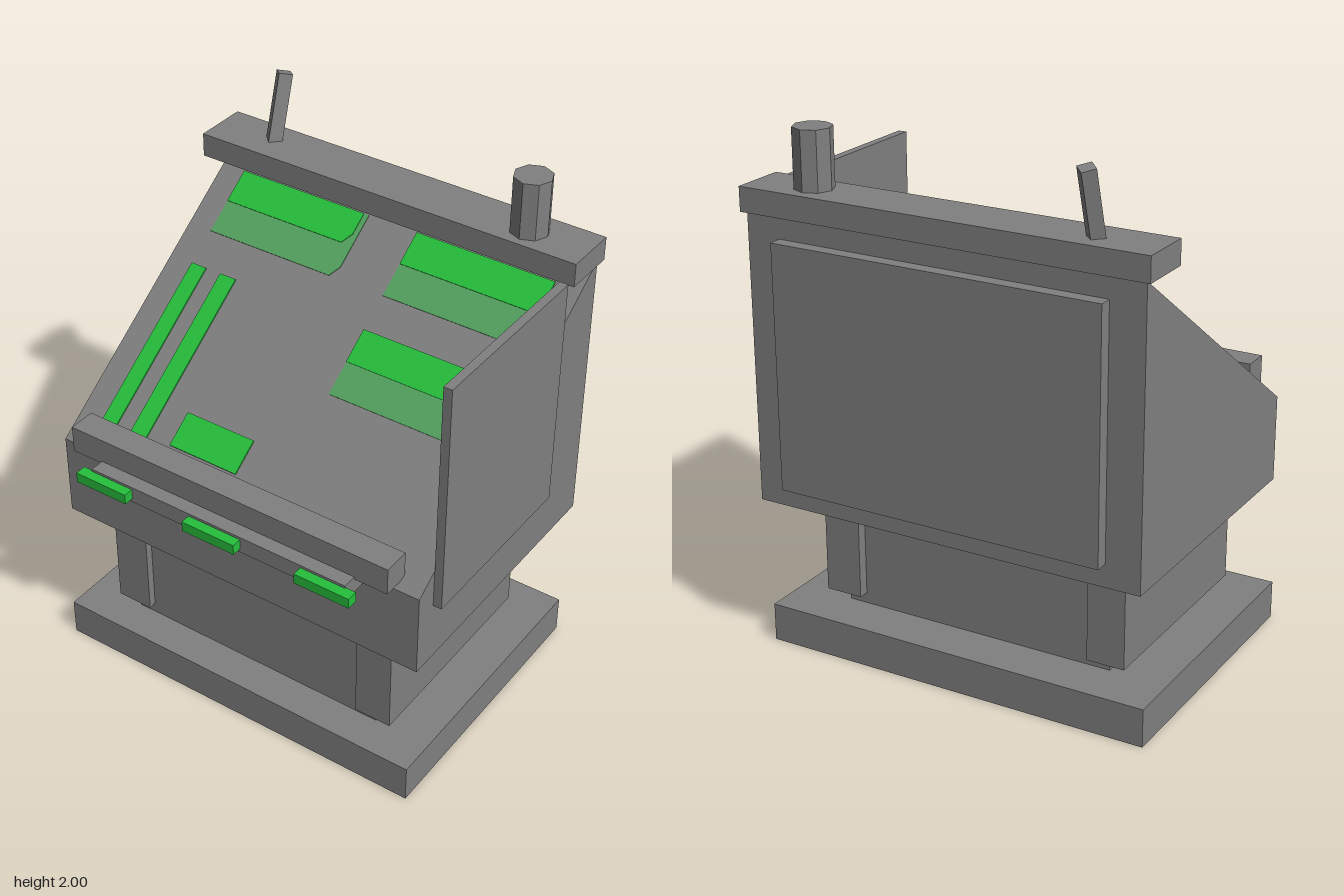
import * as THREE from 'three';

const material = (name, color) => {
  const m = new THREE.MeshStandardMaterial({ color });
  m.name = name;
  return m;
};

export function createModel() {
  const grey = material('casing grey', 0x808080);
  const green = material('light green', 0x26bf3c);
  const dim = material('muted green', 0x53a05d);
  const root = new THREE.Group();
  root.name = 'controlConsole';

  const add = (name, geometry, mat, parent = root) => {
    const mesh = new THREE.Mesh(geometry, mat);
    mesh.name = name;
    parent.add(mesh);
    return mesh;
  };
  // Box given by its limits on each axis
  const box = (name, [x0, x1], [y0, y1], [z0, z1], mat = grey) => {
    const mesh = add(name, new THREE.BoxGeometry(x1 - x0, y1 - y0, z1 - z0), mat);
    mesh.position.set((x0 + x1) / 2, (y0 + y1) / 2, (z0 + z1) / 2);
    return mesh;
  };
  const shapeOf = (points) => new THREE.Shape(points.map(([x, y]) => new THREE.Vector2(x, y)));

  // Foot and pedestal
  box('base', [-0.77, 0.75], [0, 0.145], [-0.55, 0.53]);
  box('pedestal', [-0.55, 0.53], [0.145, 0.585], [-0.37, 0.39]);
  box('pedestalSideRight', [-0.625, -0.48], [0.185, 0.545], [-0.41, 0.42]);
  box('pedestalSideLeft', [0.46, 0.605], [0.185, 0.545], [-0.41, 0.42]);

  // Wedge-shaped body: side profile (z, y) extruded across x
  const low = 0.91, high = 1.66, front = 0.49, back = -0.59;
  const profile = shapeOf([[-front, 0.585], [-back, 0.585], [-back, high], [-front, low]]);
  const bodyGeometry = new THREE.ExtrudeGeometry(profile, { depth: 1.52, bevelEnabled: false });
  bodyGeometry.rotateY(Math.PI / 2).translate(-0.77, 0, 0);
  add('body', bodyGeometry, grey);

  // Plates and rails on the body
  box('topCap', [-0.79, 0.765], [1.66, 1.75], [-0.61, -0.4]);
  box('backPanel', [-0.64, 0.62], [0.67, 1.58], [-0.64, -0.585]);
  box('sidePlate', [0.75, 0.783], [0.82, 1.72], [-0.32, 0.4]);
  box('frontRail', [-0.68, 0.66], [0.93, 1.035], [0.44, 0.545]);
  box('frontShelf', [-0.55, 0.53], [0.875, 0.94], [0.48, 0.6]);
  [-0.48, -0.01, 0.46].forEach((x, i) =>
    box('frontButton' + (i + 1), [x - 0.11, x + 0.11], [0.89, 0.93], [0.595, 0.638], green));

  // Stub and leaning rod on the cap
  add('stub', new THREE.CylinderGeometry(0.071, 0.071, 0.23, 8).toNonIndexed(), grey)
    .position.set(0.53, 1.85, -0.5);
  const rod = add('rod', new THREE.CylinderGeometry(0.036, 0.036, 0.27, 4).toNonIndexed(), grey);
  rod.position.set(-0.555, 1.859, -0.553);
  rod.rotation.x = -0.28;
  for (const name of ['stub', 'rod']) root.getObjectByName(name).geometry.computeVertexNormals();

  // Sloped display: local x across, local y up the slope, local z outwards
  const display = new THREE.Group();
  display.name = 'display';
  display.position.set(0, low, front);
  display.rotation.x = -Math.atan2(front - back, high - low);
  root.add(display);
  const stretch = Math.hypot(front - back, high - low) / (high - low);

  // Thin plate from corners given as (x, height)
  const plate = (name, points, mat, depth) => {
    const shape = shapeOf(points.map(([x, y]) => [x, (y - low) * stretch]));
    add(name, new THREE.ExtrudeGeometry(shape, { depth, bevelEnabled: false }), mat, display);
  };
  const rect = (x0, x1, y0, y1) => [[x0, y0], [x1, y0], [x1, y1], [x0, y1]];

  // Upper right screen with clipped corners
  plate('screenShade1', [[-0.67, 1.44], [-0.14, 1.44], [-0.115, 1.465], [-0.115, 1.59], [-0.67, 1.59]], dim, 0.003);
  plate('screen1', [[-0.67, 1.515], [-0.16, 1.515], [-0.135, 1.54], [-0.135, 1.59], [-0.67, 1.59]], green, 0.006);
  // Left screens
  [1.59, 1.36].forEach((top, i) => {
    plate('screenShade' + (i + 2), rect(0.09, 0.65, top - 0.15, top - 0.075), dim, 0.003);
    plate('screen' + (i + 2), rect(0.09, 0.65, top - 0.075, top), green, 0.006);
  });
  // Long strips and small panel
  plate('strip1', rect(-0.67, -0.605, low, 1.36), green, 0.006);
  plate('strip2', rect(-0.54, -0.47, low, 1.36), green, 0.006);
  plate('smallPanel', rect(-0.37, -0.08, 0.986, 1.063), green, 0.006);

  return root;
}
